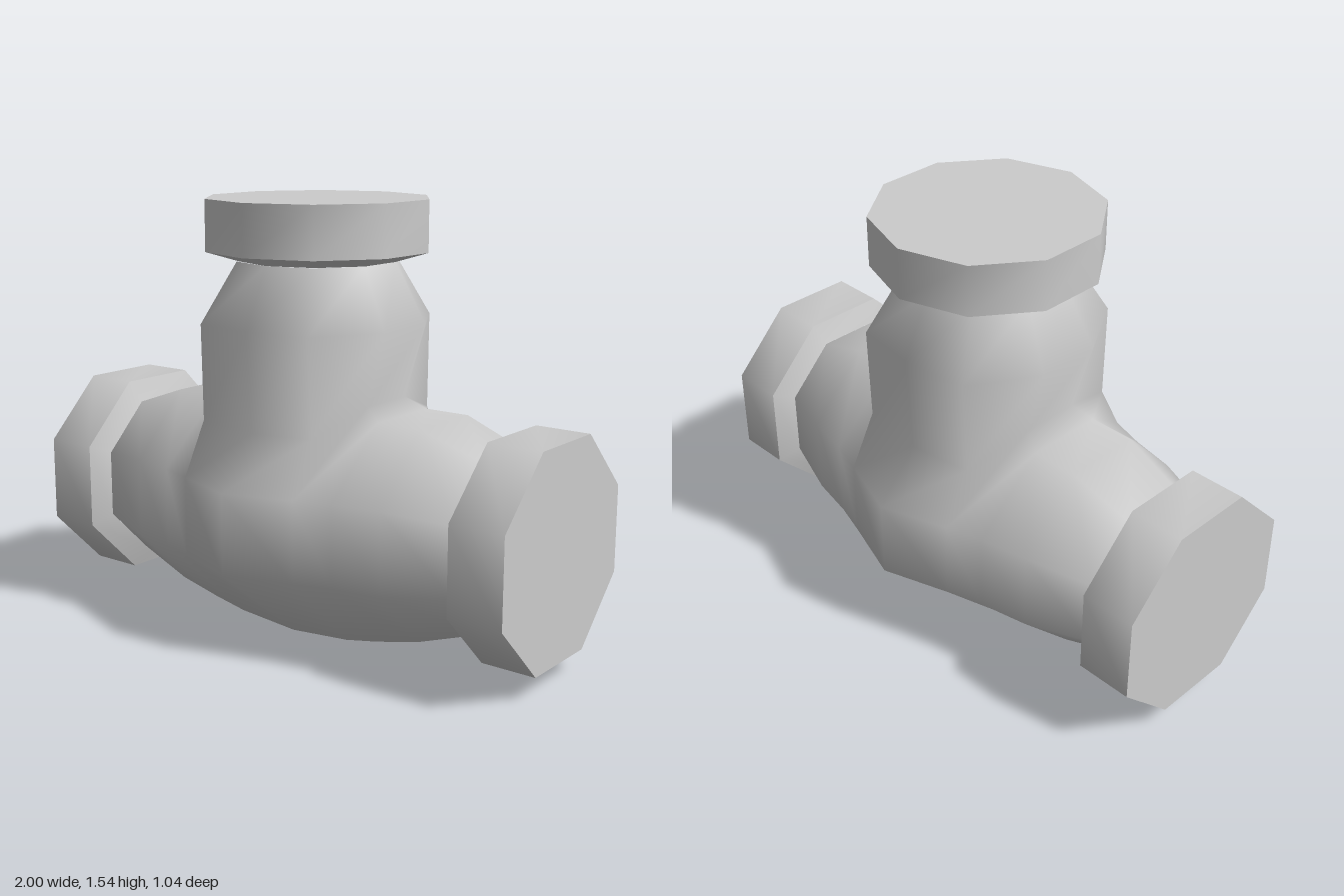
import * as THREE from 'three';
import { mergeVertices, mergeGeometries, toCreasedNormals } from 'three/addons/utils/BufferGeometryUtils.js';

const material = new THREE.MeshStandardMaterial({ color: 0xcccccc });
const AXIS_Y = 0.45; // height of the horizontal pipe axis

// Skins a row of equal-length closed rings; skip(i, k) leaves a quad open
function skin(rings, out, skip = () => false) {
  for (let i = 0; i < rings.length - 1; i++) {
    const n = rings[i].length;
    for (let k = 0; k < n; k++) {
      if (skip(i, k)) continue;
      const j = (k + 1) % n;
      const a = rings[i][k], b = rings[i][j], c = rings[i + 1][j], d = rings[i + 1][k];
      const same = (p, q) => p.every((v, m) => Math.abs(v - q[m]) < 1e-6);
      for (const t of [[a, b, c], [a, c, d]]) {
        if (same(t[0], t[1]) || same(t[1], t[2]) || same(t[0], t[2])) continue;
        out.push(...t.flat());
      }
    }
  }
}

// Eight-sided section of the main pipe; topX lets its top corners slide along x
function pipeRing(x, half, bottom, top, c, topX = x) {
  const hi = AXIS_Y + c, lo = AXIS_Y - c;
  return [
    [topX, top, c], [x, hi, half], [x, lo, half], [x, bottom, c],
    [x, bottom, -c], [x, lo, -half], [x, hi, -half], [topX, top, -c],
  ];
}

// Ten-sided section of the branch from one quarter, mirrored in x and z
function branchRing(p0, p1, p2) {
  const flip = (p, sx, sz) => [p[0] * sx, p[1], p[2] * sz];
  return [
    p0, p1, p2, flip(p2, 1, -1), flip(p1, 1, -1), flip(p0, 1, -1),
    flip(p1, -1, -1), flip(p2, -1, -1), flip(p2, -1, 1), flip(p1, -1, 1),
  ];
}

function createTeeBody() {
  const positions = [];

  // Swollen main pipe, open on top where the branch joins
  const half = [
    [0.24, 0.44, 0.02, 0.82, 0.143, 0.37],
    [0.37, 0.40, 0.045, 0.82, 0.143],
    [0.54, 0.365, 0.085, 0.82, 0.143],
    [0.77, 0.29, 0.16, 0.74, 0.12],
  ];
  const side = (s) => half.map(([x, h, b, t, c, tx = x]) => pipeRing(s * x, h, b, t, c, s * tx));
  const rings = [...side(-1).reverse(), pipeRing(0, 0.52, 0, 0.82, 0.143), ...side(1)];
  skin(rings, positions, (i, k) => (i === 3 || i === 4) && (k === 0 || k >= 6));

  // Branch flaring into the pipe along shared corners
  skin([
    branchRing([0, 0.593, 0.52], [0.24, 0.593, 0.44], [0.37, 0.82, 0.143]),
    branchRing([0, 0.77, 0.365], [0.24, 0.78, 0.34], [0.30, 0.86, 0.11]),
    branchRing([0, 1.12, 0.385], [0.235, 1.12, 0.353], [0.375, 1.12, 0.12]),
    branchRing([0, 1.33, 0.283], [0.167, 1.33, 0.24], [0.27, 1.33, 0.088]),
  ], positions);

  const geometry = new THREE.BufferGeometry();
  geometry.setAttribute('position', new THREE.Float32BufferAttribute(positions, 3));
  const welded = mergeVertices(geometry, 1e-4);
  welded.computeVertexNormals();
  return welded;
}

// Flange along +y from y = 0: short chamfer, then a straight closed rim
function createFlange(sides, innerRadius, radius, chamfer, height, turn) {
  const neck = new THREE.CylinderGeometry(radius, innerRadius, chamfer, sides, 1, true);
  neck.translate(0, chamfer / 2, 0);
  const rim = new THREE.CylinderGeometry(radius, radius, height, sides, 1, true);
  rim.translate(0, chamfer + height / 2, 0);
  const face = new THREE.CircleGeometry(radius, sides, Math.PI / 2);
  face.rotateX(-Math.PI / 2).rotateY(Math.PI);
  face.translate(0, chamfer + height, 0);
  const geometry = mergeGeometries([neck, rim, face]);
  geometry.rotateY(turn);
  return toCreasedNormals(geometry, 0.9);
}

export function createModel() {
  const group = new THREE.Group();
  const add = (name, geometry) => {
    const mesh = new THREE.Mesh(geometry, material);
    mesh.name = name;
    group.add(mesh);
    return mesh;
  };

  add('teeBody', createTeeBody());

  // Top flange on the branch
  add('topFlange', createFlange(10, 0.283, 0.4, 0.035, 0.18, 0)).position.y = 1.33;

  // Matching flanges on both pipe ends
  const endGeometry = createFlange(8, 0.314, 0.4, 0.03, 0.2, Math.PI / 8);
  for (const s of [1, -1]) {
    const flange = add(s > 0 ? 'leftFlange' : 'rightFlange', endGeometry);
    flange.position.set(s * 0.77, AXIS_Y, 0);
    flange.rotation.z = -s * Math.PI / 2;
  }
  return group;
}
